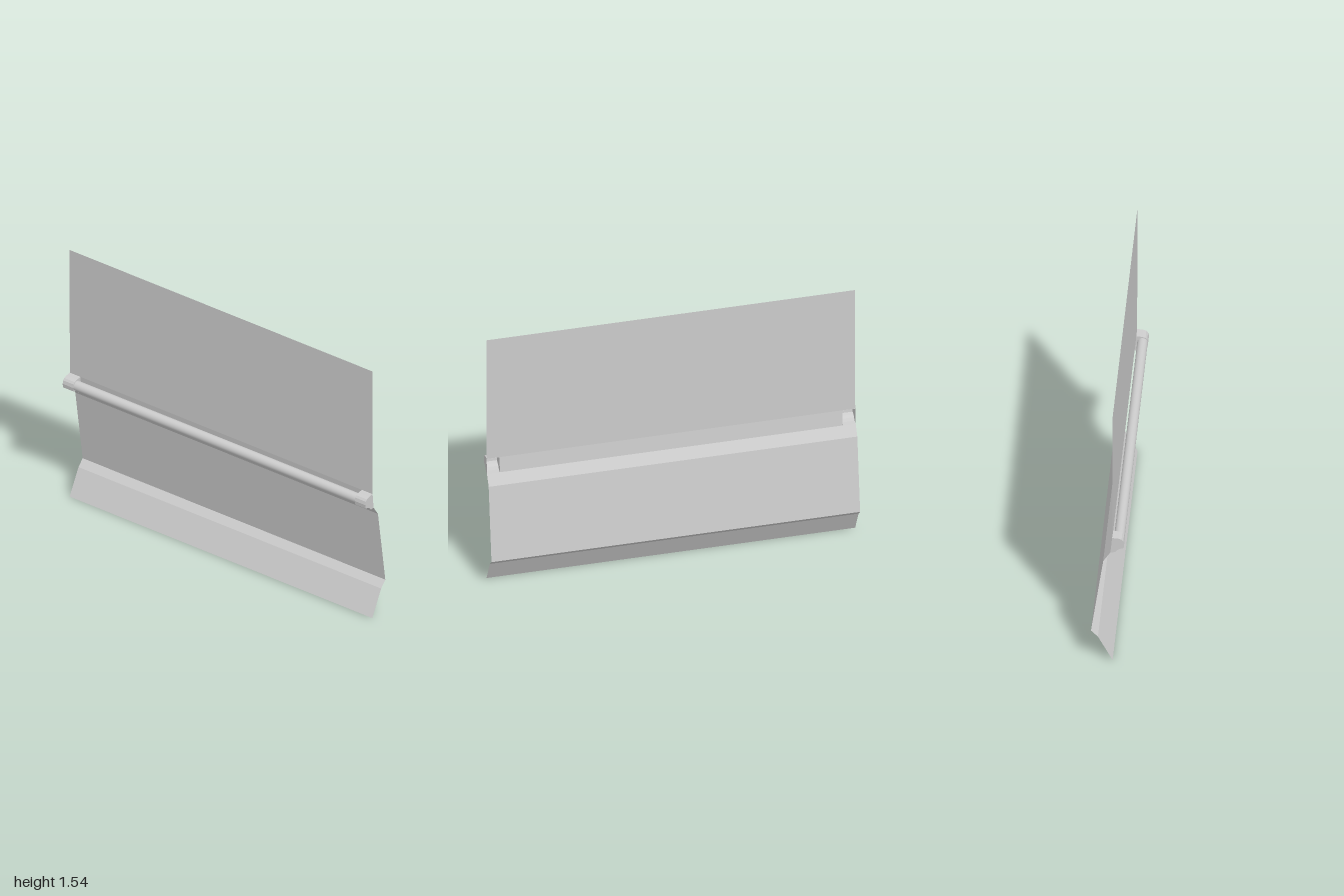
import * as THREE from 'three';

const grey = new THREE.MeshStandardMaterial({ color: 0xcccccc, side: THREE.DoubleSide });

// Folded strip: an xy profile swept straight along z, with sharp folds
function sweep(profile, z0, z1) {
  const pos = [];
  for (let i = 0; i < profile.length - 1; i++) {
    const [ax, ay] = profile[i], [bx, by] = profile[i + 1];
    pos.push(ax, ay, z0, bx, by, z0, bx, by, z1);
    pos.push(ax, ay, z0, bx, by, z1, ax, ay, z1);
  }
  const geo = new THREE.BufferGeometry();
  geo.setAttribute('position', new THREE.Float32BufferAttribute(pos, 3));
  geo.computeVertexNormals();
  return geo;
}

export function createModel() {
  const group = new THREE.Group();
  const add = (geo, name) => {
    const mesh = new THREE.Mesh(geo, grey);
    mesh.name = name;
    group.add(mesh);
    return mesh;
  };
  const inner = 0.93;

  // Thin folded sheet, cut back at both ends where the brackets sit
  add(sweep([[-0.03, 1.54], [-0.028, 0.773]], -1, 1), 'upperPanel');
  add(sweep([[-0.028, 0.773], [-0.018, 0.682]], -inner, inner), 'notchedBand');
  add(sweep([[-0.018, 0.682], [0.02, 0.625], [0.085, 0.182], [0.048, 0.145], [-0.03, 0]], -1, 1), 'lowerPanels');

  // Rod running between the brackets behind the sheet
  const rod = add(new THREE.CylinderGeometry(0.028, 0.028, 2 * inner, 24), 'rod');
  rod.rotation.x = Math.PI / 2;
  rod.position.set(-0.061, 0.735, 0);

  // Hollow brackets, open towards the sheet
  const outline = [
    [-0.027, 0.773], [-0.06, 0.77], [-0.077, 0.764], [-0.086, 0.754], [-0.091, 0.735],
    [-0.088, 0.712], [-0.07, 0.707], [-0.055, 0.699], [-0.043, 0.684], [-0.018, 0.682],
  ];
  const capShape = new THREE.Shape(outline.map(([x, y]) => new THREE.Vector2(x, y)));
  for (const s of [1, -1]) {
    add(sweep(outline, s * inner, s), 'bracketWall');
    for (const z of [inner, 1]) {
      add(new THREE.ShapeGeometry(capShape), 'bracketEnd').position.z = s * z;
    }
  }
  return group;
}
